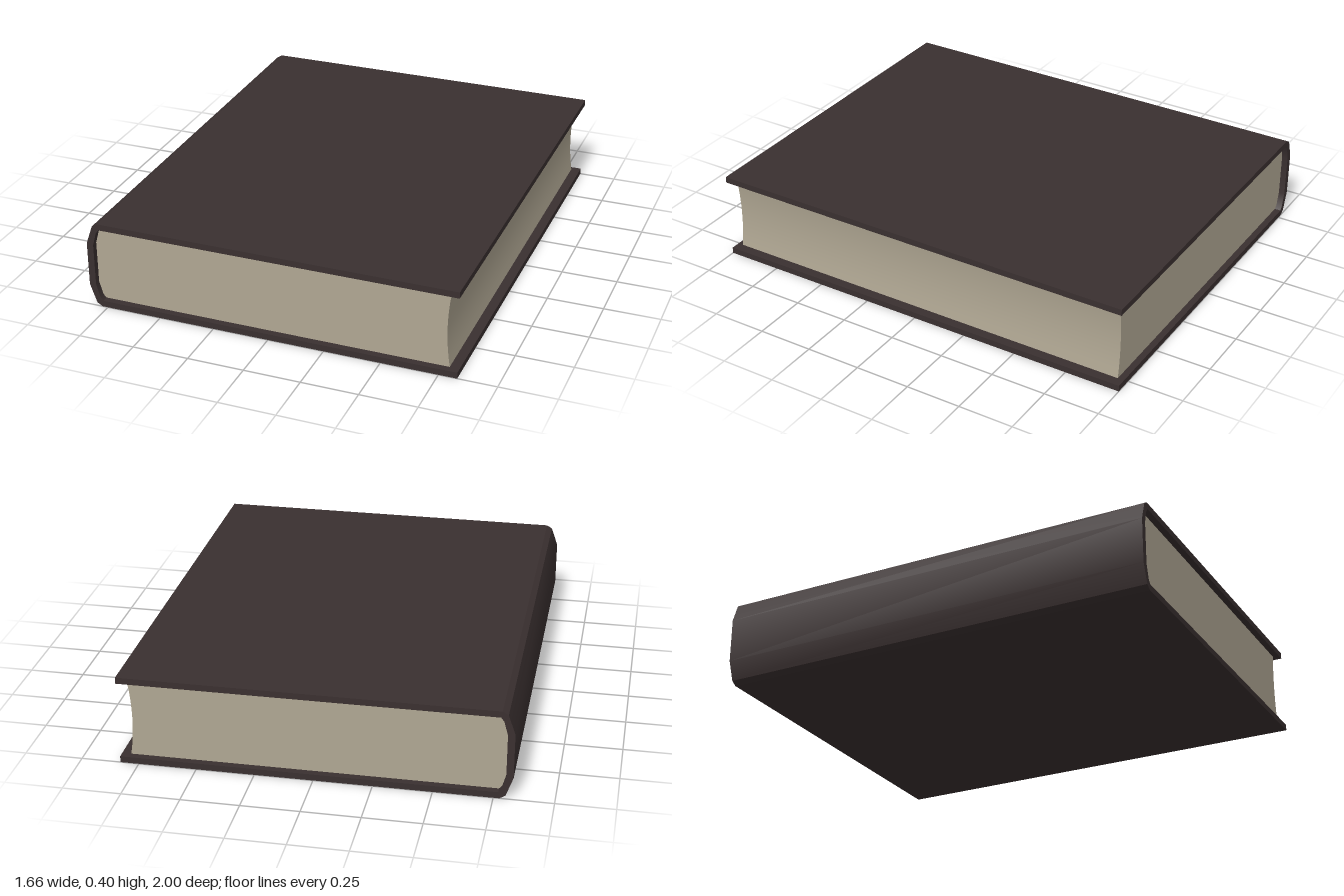
import * as THREE from 'three';
import { toCreasedNormals } from 'three/addons/utils/BufferGeometryUtils.js';

const coverMaterial = new THREE.MeshStandardMaterial({ color: 0x3a3030 });
coverMaterial.name = 'dark brown cover';
const paperMaterial = new THREE.MeshStandardMaterial({ color: 0xb0a793 });
paperMaterial.name = 'aged paper';

// Extrude an x-y outline along z, centred on z = 0
function extrudeOutline(points, depth, material, name) {
  const shape = new THREE.Shape(points.map(([x, y]) => new THREE.Vector2(x, y)));
  const geometry = new THREE.ExtrudeGeometry(shape, { depth, bevelEnabled: false });
  geometry.translate(0, 0, -depth / 2);
  const mesh = new THREE.Mesh(toCreasedNormals(geometry, 0.45), material);
  mesh.name = name;
  return mesh;
}

// Complete a lower half outline by mirroring it about mid-height
const MID = 0.2;
const mirrorUp = (half) => half.map(([x, y]) => [x, 2 * MID - y]).reverse();

export function createModel() {
  const book = new THREE.Group();
  book.name = 'book';

  // Boards and bevelled spine as one folded cover
  const outer = [[0.83, 0], [-0.775, 0], [-0.8, 0.015], [-0.83, 0.1]];
  const inner = [[-0.8, 0.105], [-0.783, 0.045], [-0.77, 0.028], [0.83, 0.028]];
  const outline = [...outer, ...mirrorUp(outer), ...mirrorUp(inner), ...inner];
  outline.reverse();
  book.add(extrudeOutline(outline, 2, coverMaterial, 'cover'));

  // Page block, fitted to the spine, with a hollow fore edge
  const spineEdge = [[-0.77, 0.03], [-0.784, 0.046], [-0.801, 0.106]];
  const foreEdge = [];
  for (let i = 0; i <= 8; i++) {
    const t = i / 4 - 1;
    foreEdge.push([0.775 + 0.014 * t * t, MID + 0.17 * t]);
  }
  const pages = [...foreEdge, ...mirrorUp(spineEdge), ...spineEdge.slice().reverse()];
  // Both spine halves run from top to bottom
  pages.splice(foreEdge.length, 6, ...mirrorUp(spineEdge).reverse(), ...spineEdge.slice().reverse());
  book.add(extrudeOutline(pages, 1.945, paperMaterial, 'pages'));

  return book;
}
